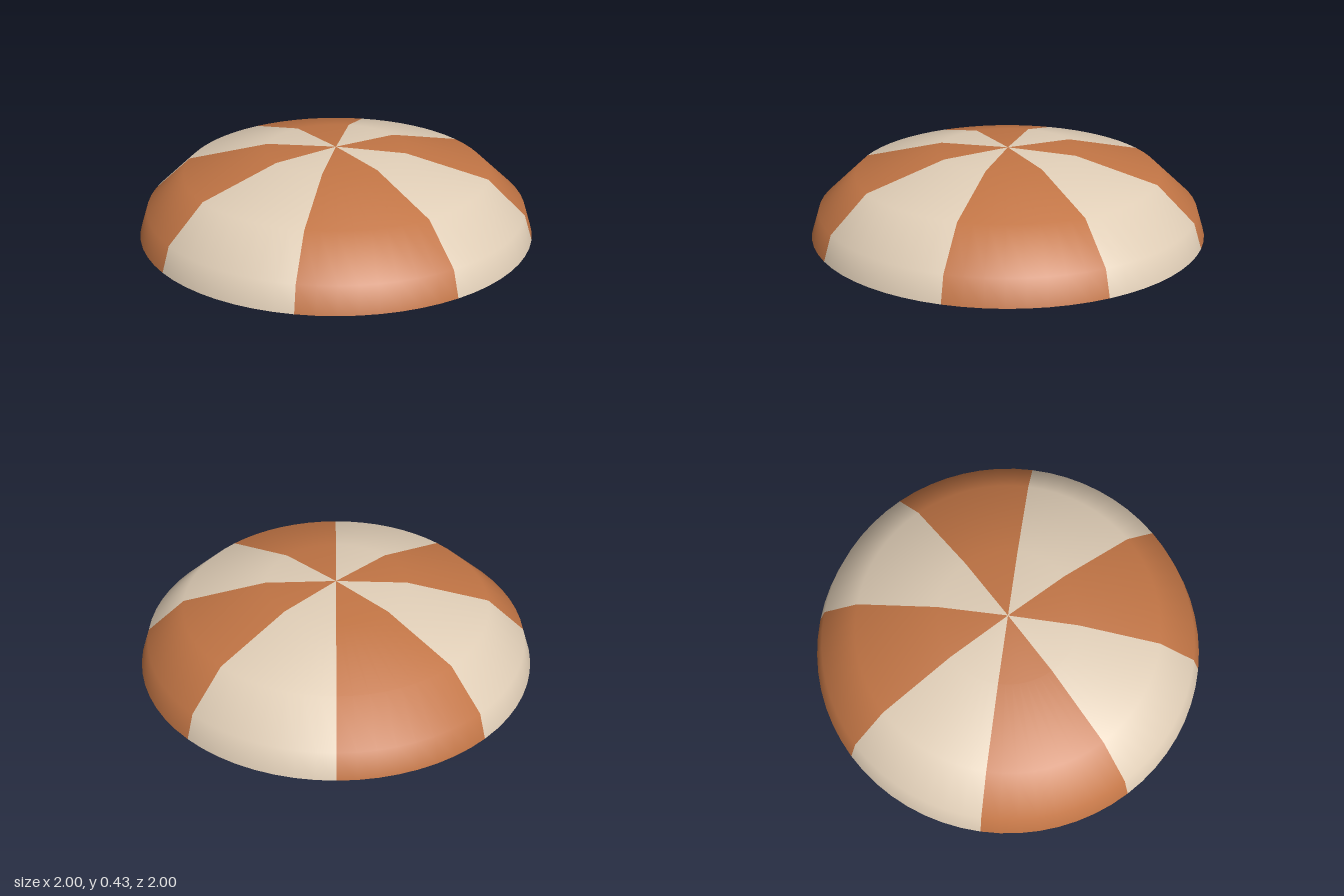
import * as THREE from 'three';

export function createModel() {
  const group = new THREE.Group();
  group.name = 'canopy';

  const cream = new THREE.MeshStandardMaterial({ color: 0xe0ceb7, side: THREE.DoubleSide });
  cream.name = 'cream cloth';
  const orange = new THREE.MeshStandardMaterial({ color: 0xc27545, side: THREE.DoubleSide });
  orange.name = 'burnt orange cloth';

  // Open dome profile from rim to crown
  const profile = [[1, 0], [0.96, 0.13], [0.77, 0.31], [0.355, 0.42], [0, 0.43]]
    .map(([r, y]) => new THREE.Vector2(r, y));

  // Eight alternating gores
  const count = 8;
  const step = (Math.PI * 2) / count;
  for (let i = 0; i < count; i++) {
    const gore = new THREE.Mesh(
      new THREE.LatheGeometry(profile, 8, i * step, step),
      i % 2 ? orange : cream
    );
    gore.name = `gore${i + 1}`;
    group.add(gore);
  }
  return group;
}
